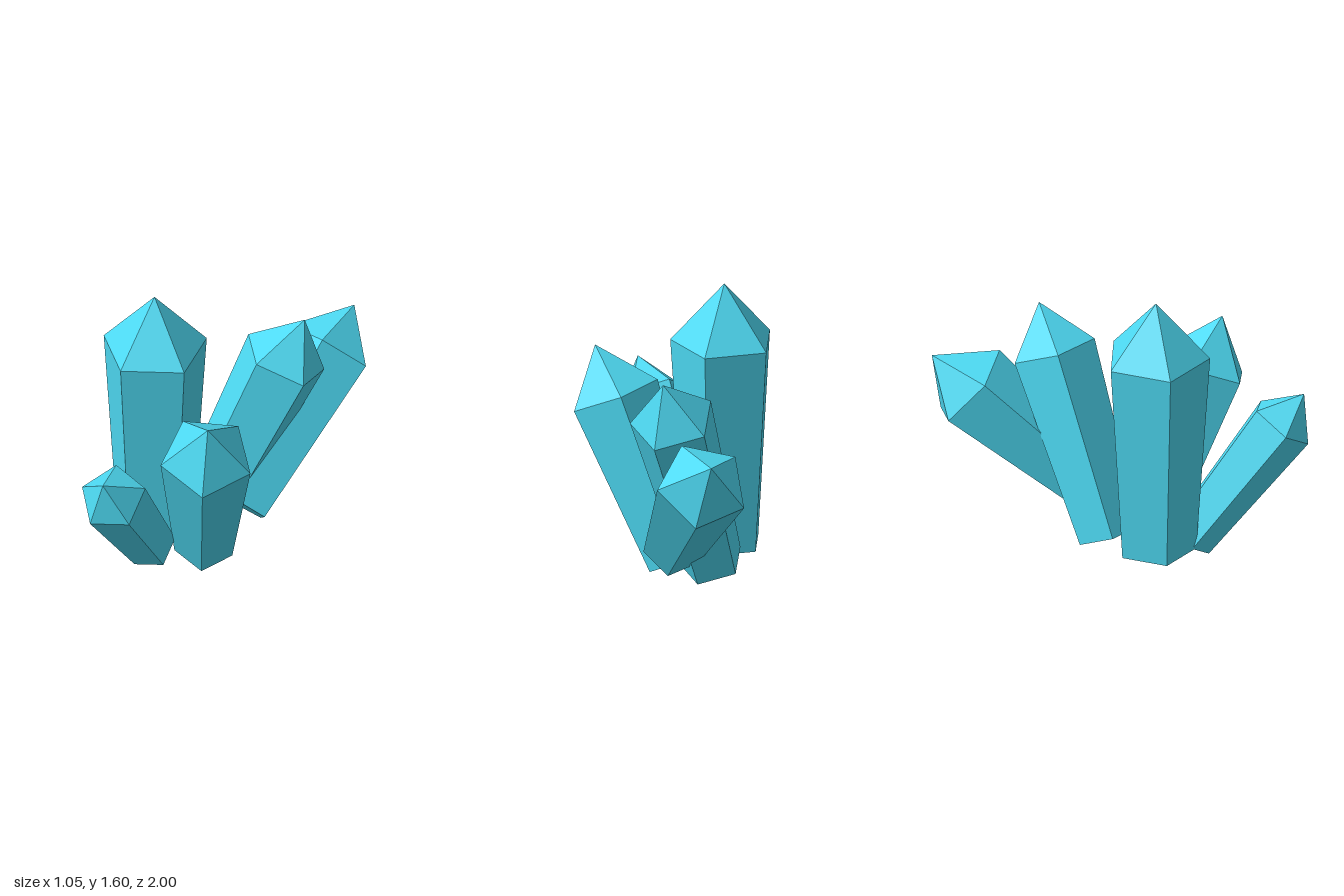
import * as THREE from 'three';

const material = new THREE.MeshStandardMaterial({ color: 0x4dd9f2, flatShading: true });
const SIDES = 5;

// foot / shoulder: centres of the lower and upper rings; corner: direction from
// the shoulder centre to one of its corners, which sets the roll
const crystals = [
  { name: 'tallCrystal', foot: [-0.283, 0.12, 0.273], shoulder: [-0.283, 1.277, 0.273],
    corner: [0.073, 0, 0.283], footRadius: 0.215, shoulderRadius: 0.289, tip: 0.326 },
  { name: 'frontLeftCrystal', foot: [-0.02, 0.067, 0.138], shoulder: [0.307, 0.932, 0.365],
    corner: [0.173, -0.097, 0.16], footRadius: 0.163, shoulderRadius: 0.253, tip: 0.286 },
  { name: 'smallFrontCrystal', foot: [-0.131, 0.118, 0.409], shoulder: [0.113, 0.76, 0.848],
    corner: [0.002, -0.105, 0.15], footRadius: 0.136, shoulderRadius: 0.184, tip: 0.206 },
  { name: 'backCrystal', foot: [-0.214, 0.12, -0.01], shoulder: [-0.005, 1.076, -0.385],
    corner: [0.04, 0.069, 0.22], footRadius: 0.178, shoulderRadius: 0.235, tip: 0.265 },
  { name: 'leaningBackCrystal', foot: [-0.003, 0.23, -0.1], shoulder: [-0.162, 0.868, -0.805],
    corner: [0.242, -0.003, -0.055], footRadius: 0.158, shoulderRadius: 0.25, tip: 0.266 },
];

function makeCrystal({ name, foot, shoulder, corner, footRadius, shoulderRadius, tip }) {
  const start = new THREE.Vector3(...foot);
  const axis = new THREE.Vector3(...shoulder).sub(start);
  const length = axis.length();
  axis.normalize();

  // Tapered shaft, standing on its foot and closed below
  const shaft = new THREE.Mesh(
    new THREE.CylinderGeometry(shoulderRadius, footRadius, length, SIDES), material);
  shaft.name = 'shaft';
  shaft.position.y = length / 2;

  // Pointed cap on the shoulder
  const point = new THREE.Mesh(
    new THREE.ConeGeometry(shoulderRadius, tip, SIDES, 1, true), material);
  point.name = 'point';
  point.position.y = length + tip / 2;

  // Lean along the axis, with the first corner turned to the given direction
  const z = new THREE.Vector3(...corner).projectOnPlane(axis).normalize();
  const x = new THREE.Vector3().crossVectors(axis, z);
  const crystal = new THREE.Group();
  crystal.name = name;
  crystal.add(shaft, point);
  crystal.quaternion.setFromRotationMatrix(new THREE.Matrix4().makeBasis(x, axis, z));
  crystal.position.copy(start);
  return crystal;
}

export function createModel() {
  const cluster = new THREE.Group();
  cluster.name = 'crystalCluster';
  for (const spec of crystals) cluster.add(makeCrystal(spec));
  return cluster;
}
